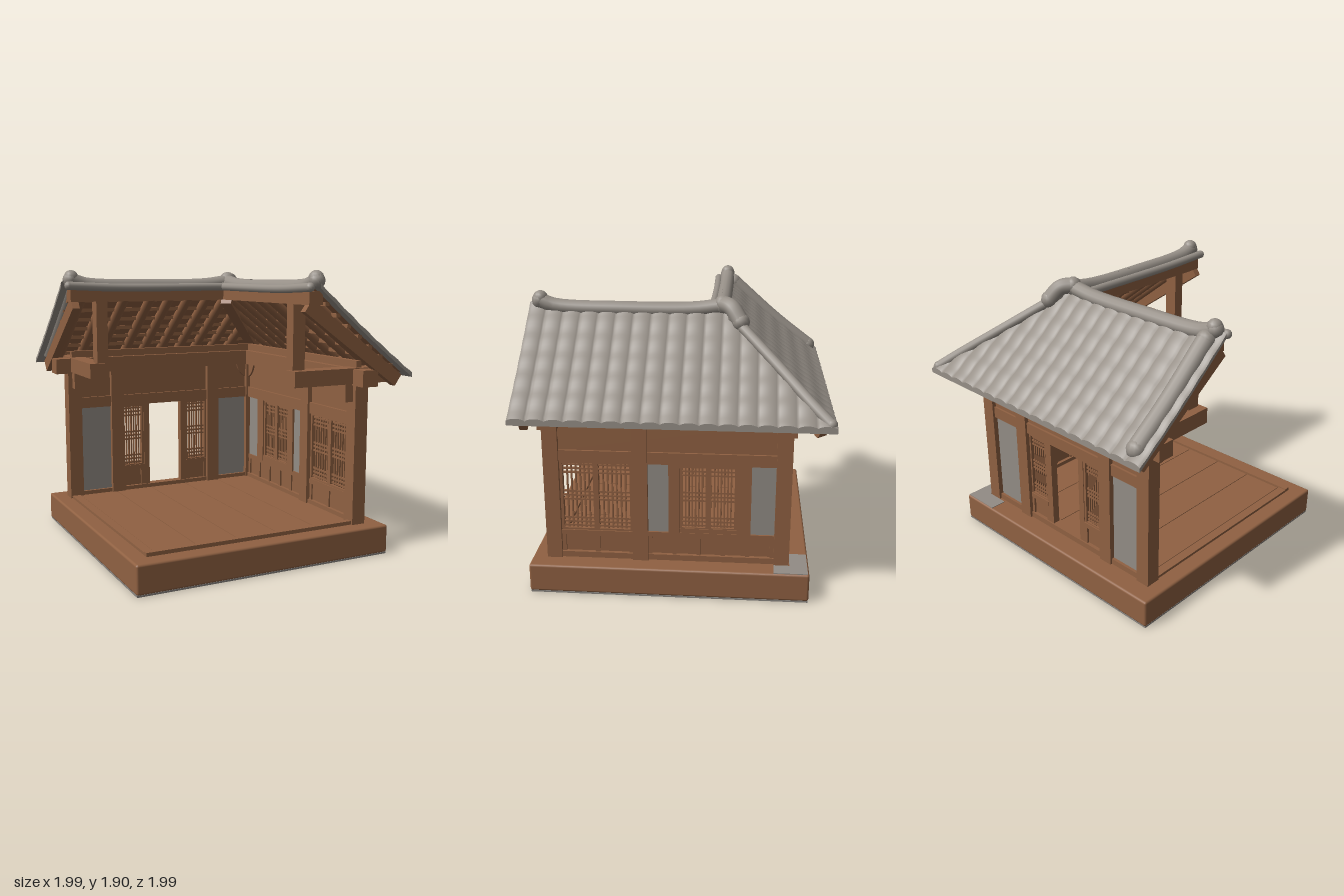
import * as THREE from 'three';
import { RoundedBoxGeometry } from 'three/addons/geometries/RoundedBoxGeometry.js';

const mat = (name, color, side = THREE.FrontSide) => {
  const m = new THREE.MeshStandardMaterial({ color, side });
  m.name = name;
  return m;
};

export function createModel() {
  const wood = mat('wood', 0x906142, THREE.DoubleSide);
  const tile = mat('roof tile', 0x979088, THREE.DoubleSide);
  const plaster = mat('plaster', 0x928c85);
  const stone = mat('base stone', 0x8a8580);
  const root = new THREE.Group();

  const add = (parent, name, geometry, material) => {
    const m = new THREE.Mesh(geometry, material);
    m.name = name;
    parent.add(m);
    return m;
  };
  const block = (parent, name, m, x0, x1, y0, y1, z0, z1) =>
    add(parent, name, new THREE.BoxGeometry(x1 - x0, y1 - y0, z1 - z0), m)
      .position.set((x0 + x1) / 2, (y0 + y1) / 2, (z0 + z1) / 2);
  // Bar between two points: square, or round when no height is given
  const bar = (parent, name, m, a, b, w, h) => {
    const p = new THREE.Vector3(...a), q = new THREE.Vector3(...b), len = p.distanceTo(q);
    const geometry = h ? new THREE.BoxGeometry(w, h, len)
      : new THREE.CylinderGeometry(w / 2, w / 2, len, 12).rotateX(Math.PI / 2);
    const mesh = add(parent, name, geometry, m);
    mesh.position.copy(p).add(q).multiplyScalar(0.5);
    mesh.lookAt(q);
  };
  const tube = (parent, name, pts, r) => {
    const v = pts.map(p => new THREE.Vector3(...p));
    add(parent, name, new THREE.TubeGeometry(new THREE.CatmullRomCurve3(v), 24, r, 12), tile);
    for (const p of [v[0], v[v.length - 1]])
      add(parent, name + 'End', new THREE.SphereGeometry(r * 1.04, 12, 8), tile).position.copy(p);
  };
  // Smooth surface through a grid of points
  const sheet = (parent, name, m, nu, nv, flip, f) => {
    const pos = [], idx = [];
    for (let i = 0; i <= nu; i++) for (let j = 0; j <= nv; j++) pos.push(...f(i / nu, j / nv));
    for (let i = 0; i < nu; i++) for (let j = 0; j < nv; j++) {
      const a = i * (nv + 1) + j, b = a + nv + 1;
      if (flip) idx.push(a, a + 1, b, b, a + 1, b + 1);
      else idx.push(a, b, a + 1, b, b + 1, a + 1);
    }
    const g = new THREE.BufferGeometry();
    g.setAttribute('position', new THREE.Float32BufferAttribute(pos, 3));
    g.setIndex(idx);
    g.computeVertexNormals();
    add(parent, name, g, m);
  };

  // Platform and plank floor
  const base = new THREE.Group();
  base.name = 'platform';
  root.add(base);
  add(base, 'platformBody', new RoundedBoxGeometry(1.82, 0.19, 1.83, 2, 0.015), wood).position.set(-0.03, 0.105, 0.025);
  block(base, 'platformUnderside', stone, -0.935, 0.875, 0, 0.012, -0.885, 0.935);
  for (let i = 0; i < 5; i++)
    block(base, 'floorPlank', wood, -0.76 + i * 0.29, -0.475 + i * 0.29, 0.19, 0.211, -0.68, 0.78);
  block(base, 'frontSill', wood, -0.83, 0.76, 0.19, 0.225, 0.785, 0.825);
  block(base, 'leftSill', wood, -0.83, -0.77, 0.19, 0.218, -0.7, 0.785);
  block(base, 'cornerPaving', plaster, 0.6, 0.87, 0.197, 0.204, -0.88, -0.765);
  block(base, 'cornerPaving', plaster, 0.765, 0.87, 0.197, 0.204, -0.765, -0.66);

  // Both wings share coordinates: u runs along the wall, d is distance out from the centre
  const topY = d => 1.79 - 0.56 * (d - 0.3) / 0.7 - 0.012 * Math.sin(Math.PI * (d - 0.3) / 0.7);
  for (const side of ['back', 'right']) {
    const back = side === 'back';
    const g = new THREE.Group();
    g.name = side + 'Wing';
    root.add(g);
    const P = (u, y, d) => back ? [u, y, -d] : [d, y, -u];
    const put = (name, m, u0, u1, y0, y1, d0, d1) => back
      ? block(g, name, m, u0, u1, y0, y1, -d1, -d0)
      : block(g, name, m, d0, d1, y0, y1, -u1, -u0);

    // Posts and beams of the wall
    const posts = back ? [-0.79, -0.455, 0.355, 0.71] : [-0.79, -0.215];
    for (const u of posts) put('post', wood, u - 0.05, u + 0.05, 0.2, 1.16, 0.66, 0.76);
    put('sill', wood, -0.8, 0.71, 0.2, 0.24, 0.675, 0.745);
    put('lintel', wood, -0.8, 0.71, 0.88, 0.96, 0.675, 0.745);
    put('upperPanel', wood, -0.8, 0.71, 0.95, 1.17, 0.695, 0.73);
    put('wallPlate', wood, -0.93, 0.93, 1.15, 1.26, 0.65, 0.77);
    put('eaveInfill', wood, -0.8, 0.71, 1.25, 1.31, 0.69, 0.73);

    // Curved brackets under the wall plate
    for (const [u, s] of [[-0.74, 1], [0.66, -1]]) {
      const sh = new THREE.Shape();
      sh.moveTo(0, 0);
      sh.lineTo(0.08 * s, 0);
      sh.quadraticCurveTo(0.06 * s, -0.08, 0, -0.11);
      const b = add(g, 'bracket', new THREE.ExtrudeGeometry(sh, { depth: 0.06, bevelEnabled: false }), wood);
      b.position.set(...P(u, 1.155, back ? 0.74 : 0.68));
      if (!back) b.rotation.y = Math.PI / 2;
    }

    // Lattice leaf: frame, upright bars and three bands of cross bars
    const lattice = (u0, u1, y0, y1) => {
      const f = 0.018;
      for (const u of [u0, u1 - f]) put('latticeStile', wood, u, u + f, y0, y1, 0.69, 0.73);
      for (const y of [y0, y1 - f]) put('latticeRail', wood, u0, u1, y, y + f, 0.69, 0.73);
      for (let i = 1; i < 7; i++) {
        const u = u0 + f + (u1 - u0 - 2 * f) * i / 7;
        put('latticeBar', wood, u - 0.005, u + 0.005, y0, y1, 0.703, 0.718);
      }
      for (const c of [0.12, 0.5, 0.88]) for (const k of [-1, 0, 1]) {
        const y = y0 + (y1 - y0) * c + k * 0.028;
        put('latticeBar', wood, u0, u1, y - 0.006, y + 0.006, 0.703, 0.718);
      }
    };
    const plate = (u0, u1, y0) => put('plasterPanel', plaster, u0, u1, y0, 0.89, 0.695, 0.725);
    // Low wooden wall divided into framed panels
    const lowWall = (u0, u1, y1, n) => {
      put('lowPanel', wood, u0, u1, 0.23, y1, 0.7, 0.72);
      put('lowRail', wood, u0, u1, y1 - 0.035, y1, 0.685, 0.738);
      for (let i = 0; i <= n; i++) {
        const u = u0 + 0.012 + (u1 - u0 - 0.024) * i / n;
        put('lowStile', wood, u - 0.014, u + 0.014, 0.23, y1, 0.688, 0.735);
      }
    };
    if (back) {
      plate(-0.75, -0.5, 0.23);
      plate(0.4, 0.67, 0.23);
      for (const [a, b, s] of [[-0.41, -0.235, -0.235], [0.125, 0.31, 0.08]]) {
        lattice(a, b, 0.39, 0.88);
        lowWall(a, b, 0.4, 1);
        put('doorStile', wood, s, s + 0.045, 0.23, 0.89, 0.685, 0.735);
      }
    } else {
      lattice(-0.74, -0.505, 0.39, 0.885);
      lattice(-0.505, -0.265, 0.39, 0.885);
      lowWall(-0.74, -0.265, 0.395, 2);
      plate(-0.17, -0.025, 0.39);
      plate(0.5, 0.67, 0.39);
      put('windowPost', wood, -0.03, 0.04, 0.39, 0.89, 0.68, 0.74);
      put('windowPost', wood, 0.415, 0.505, 0.39, 0.89, 0.68, 0.74);
      put('windowSill', wood, 0.03, 0.42, 0.39, 0.43, 0.685, 0.735);
      lattice(0.04, 0.228, 0.42, 0.885);
      lattice(0.228, 0.415, 0.42, 0.885);
      lowWall(-0.165, 0.66, 0.4, 5);
    }

    // Roof frame: ridge beam, cross beam, king post, rafters and battens
    put('ridgeBeam', wood, -0.94, 0.32, 1.69, 1.775, 0.22, 0.32);
    put('crossBeam', wood, -0.82, -0.7, 1.16, 1.265, 0.2, 0.93);
    put('kingPost', wood, -0.76, -0.68, 1.25, 1.7, 0.22, 0.31);
    put('beamEnd', wood, -0.81, -0.745, 1.04, 1.17, 0.6, 0.67);
    bar(g, 'gableBoard', wood, P(-0.91, 1.685, 0.22), P(-0.91, 1.185, 0.93), 0.05, 0.09);
    for (const u of [-0.84, -0.67, -0.52, -0.32, -0.17, -0.02, 0.135, 0.28, 0.43, 0.58]) {
      const d = Math.max(0.28, u);
      bar(g, 'rafter', wood, P(u, topY(d) - 0.075, d), P(u, topY(0.95) - 0.055, 0.95), 0.07);
    }
    for (let d = 0.36; d < 0.9; d += 0.085)
      bar(g, 'batten', wood, P(-0.93, topY(d) - 0.045, d), P(d, topY(d) - 0.045, d), 0.03, 0.025);

    // Rolled tiles over boarding, meeting at the hip; the tiles overhang the boards
    const roll = u => 0.016 * Math.pow(Math.abs(Math.sin(Math.PI * (u + 0.99) / 0.117)), 0.6);
    const point = (s, t, u0, d1, lift) => {
      const u = u0 + (d1 - u0) * s, d0 = Math.max(0.27, u), d = d0 + (d1 - d0) * t;
      return P(u, topY(d) + lift(u, d), d);
    };
    const upper = (u, d) => 0.004 + roll(u) + 0.003 * Math.sin(d * 52);
    const lower = () => -0.022;
    const boards = () => -0.03;
    sheet(g, 'roofTiles', tile, 204, 32, !back, (s, t) => point(s, 1 - t, -0.99, 1, upper));
    sheet(g, 'tileUnderside', tile, 40, 8, back, (s, t) => point(s, 1 - t, -0.99, 1, lower));
    sheet(g, 'roofBoarding', wood, 40, 8, back, (s, t) => point(s, 1 - t, -0.935, 0.95, boards));
    sheet(g, 'eaveEdge', tile, 204, 1, !back, (s, t) => point(s, 1, -0.99, 1, t < 0.5 ? upper : lower));
    sheet(g, 'vergeEdge', tile, 32, 1, back, (s, t) => point(0, s, -0.99, 1, t < 0.5 ? upper : lower));

    // Ridge caps
    tube(g, 'ridge', [P(-0.92, 1.84, 0.285), P(-0.82, 1.805, 0.285), P(-0.35, 1.79, 0.285),
      P(0.1, 1.795, 0.285), P(0.29, 1.82, 0.285)], 0.052);
    add(g, 'ridgeKnob', new THREE.SphereGeometry(0.05, 14, 10), tile).position.set(...P(-0.915, 1.855, 0.285));
    tube(g, 'ridgeRoll', [P(-0.955, 1.8, 0.215), P(-0.6, 1.785, 0.22), P(0.24, 1.785, 0.22)], 0.028);
    if (back)
      tube(g, 'vergeRidge', [P(-0.89, 1.78, 0.33), P(-0.89, topY(0.65), 0.65), P(-0.89, topY(0.92), 0.92)], 0.06);
  }

  // Hip ridge, its thick head, and the hip rafter below
  tube(root, 'hipHead', [[0.29, 1.835, -0.29], [0.35, 1.82, -0.35], [0.4, 1.74, -0.41]], 0.055);
  tube(root, 'hipRidge', [[0.36, 1.76, -0.36], [0.65, 1.52, -0.65], [0.87, 1.34, -0.86], [0.965, 1.255, -0.965]], 0.034);
  bar(root, 'hipRafter', wood, [0.28, 1.7, -0.28], [0.93, 1.2, -0.93], 0.08, 0.09);
  return root;
}
